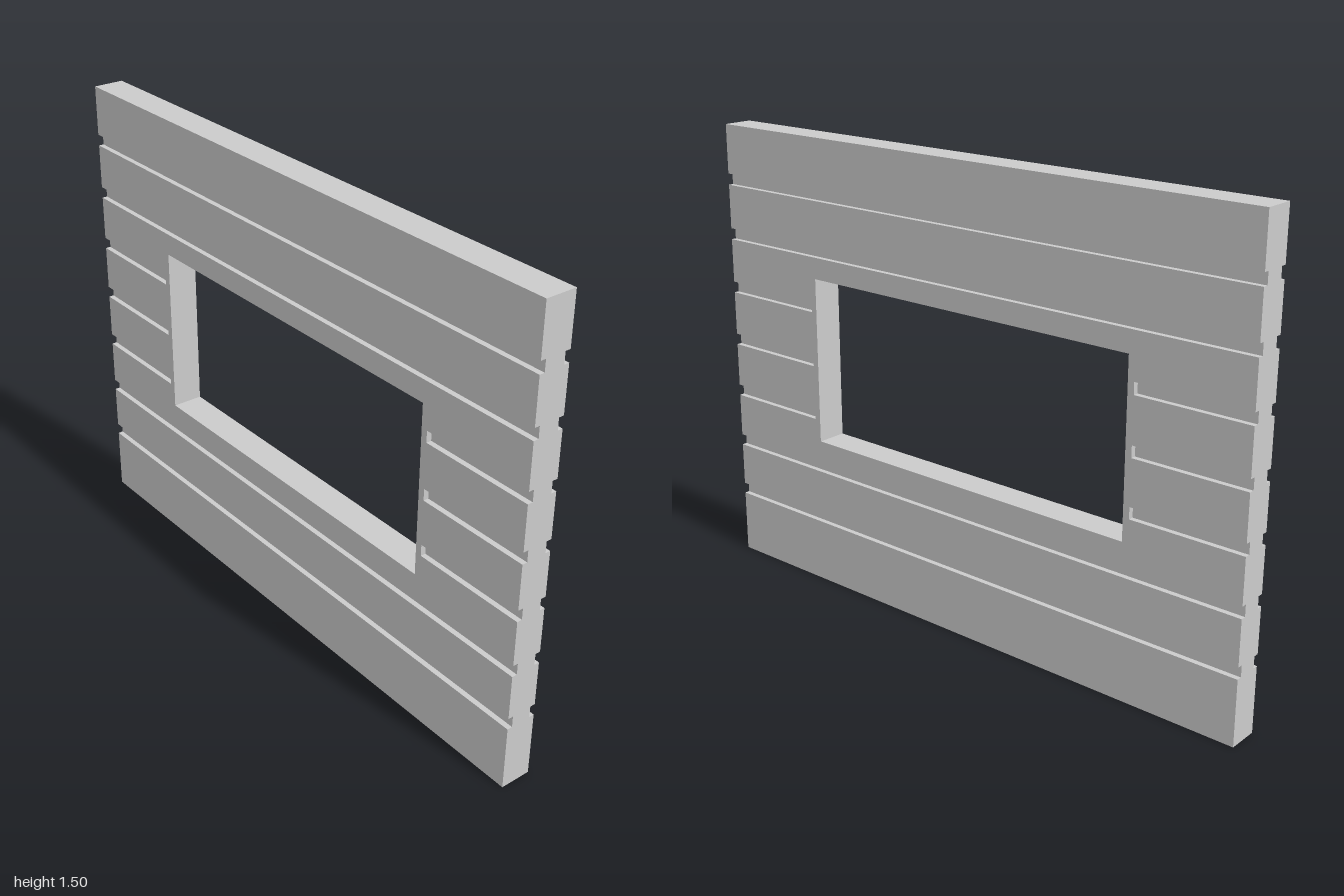
import * as THREE from 'three';

const HEIGHT = 1.5, HALF_DEPTH = 0.05, GROOVE_DEPTH = 0.017;
const CORE = HALF_DEPTH - GROOVE_DEPTH;
const GROOVE = 0.037, FIRST = 0.21, PITCH = 0.182;
const WINDOW = { x0: -0.607, x1: 0.604, y0: 0.5, y1: 1.05 };
const REVEAL = 0.021; // plain margin between the short grooves and the window

const polygon = (points) => new THREE.Shape(points.map(([x, y]) => new THREE.Vector2(x, y)));
const rect = (x0, y0, x1, y1) => polygon([[x0, y0], [x1, y0], [x1, y1], [x0, y1]]);

function withWindow(shape) {
  const { x0, x1, y0, y1 } = WINDOW;
  shape.holes.push(new THREE.Path(
    [[x0, y0], [x0, y1], [x1, y1], [x1, y0]].map(([x, y]) => new THREE.Vector2(x, y))));
  return shape;
}

export function createModel() {
  const group = new THREE.Group();
  group.name = 'windowWallPanel';
  const material = new THREE.MeshStandardMaterial({ color: 0xcccccc, flatShading: true });

  // Flat slab between z0 and z1
  const addSlab = (name, shape, z0, z1) => {
    const geometry = new THREE.ExtrudeGeometry(shape, { depth: z1 - z0, bevelEnabled: false });
    geometry.translate(0, 0, z0);
    const mesh = new THREE.Mesh(geometry, material);
    mesh.name = name;
    group.add(mesh);
  };

  // Solid core, which forms the floor of every groove
  addSlab('core', withWindow(rect(-1, 0, 1, HEIGHT)), -CORE, CORE);

  const grooves = Array.from({ length: 7 }, (_, i) => FIRST + i * PITCH);
  const sideGrooves = grooves.slice(2, 5);
  const fullGrooves = [...grooves.slice(0, 2), ...grooves.slice(5)];

  // Facing boards between the full-width grooves
  const boards = [];
  let bottom = 0;
  for (const y of [...fullGrooves, HEIGHT]) {
    boards.push([bottom, y]);
    bottom = y + GROOVE;
  }

  const facings = boards.map(([y0, y1], i) => {
    if (i !== 2) return { name: 'facingBoard', shape: rect(-1, y0, 1, y1) };
    // The middle board surrounds the window and is notched from both sides
    const notch = (edge, end) => sideGrooves.flatMap((y) =>
      [[edge, y], [end, y], [end, y + GROOVE], [edge, y + GROOVE]]);
    const outline = [
      [-1, y0], [1, y0],
      ...notch(1, WINDOW.x1 + REVEAL),
      [1, y1], [-1, y1],
      ...notch(-1, WINDOW.x0 - REVEAL).reverse(),
    ];
    return { name: 'windowFacing', shape: withWindow(polygon(outline)) };
  });

  for (const { name, shape } of facings) {
    addSlab(name + 'Front', shape, CORE, HALF_DEPTH);
    addSlab(name + 'Back', shape, -HALF_DEPTH, -CORE);
  }

  return group;
}
